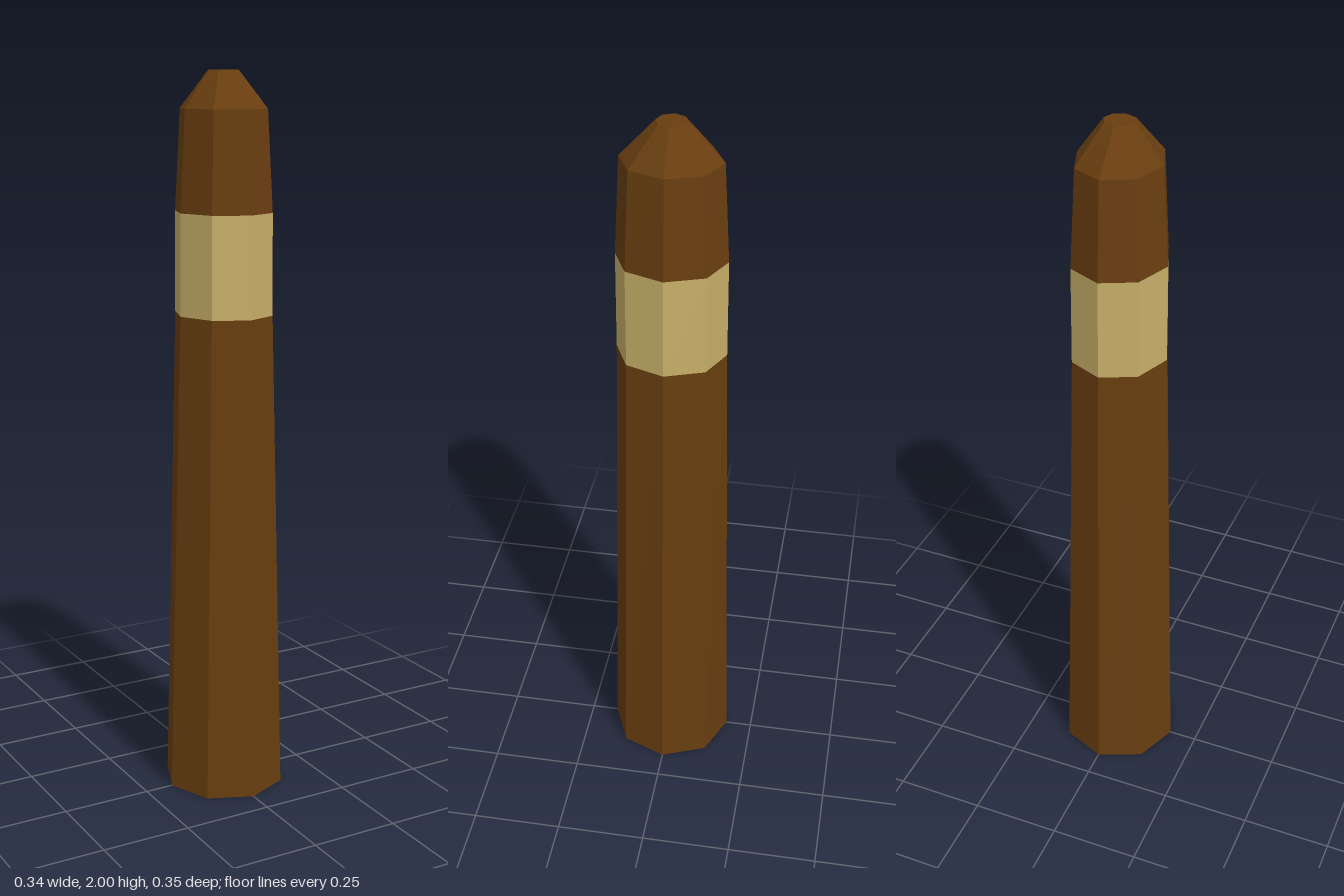
import * as THREE from 'three';

const SIDES = 8;
const paint = (color) => new THREE.MeshStandardMaterial({ color, flatShading: true });

// Octagonal ring corners (on the axes), wider in z than in x
const corner = ([y, rx, rz], i) => {
  const a = (i / SIDES) * Math.PI * 2;
  return [Math.sin(a) * rx, y, Math.cos(a) * rz];
};

// Faceted section running up through the given [y, rx, rz] rings
function section(name, rings, material) {
  const points = [];
  for (let r = 0; r < rings.length - 1; r++) {
    for (let i = 0; i < SIDES; i++) {
      const a = corner(rings[r], i), b = corner(rings[r], i + 1);
      const c = corner(rings[r + 1], i + 1), d = corner(rings[r + 1], i);
      points.push(...a, ...b, ...c, ...a, ...c, ...d);
    }
  }
  return mesh(name, points, material);
}

// Flat octagonal end closing a ring, facing up or down
function endCap(name, ring, up, material) {
  const points = [];
  for (let i = 0; i < SIDES; i++) {
    const a = corner(ring, i), b = corner(ring, i + 1);
    points.push(0, ring[0], 0, ...(up ? a : b), ...(up ? b : a));
  }
  return mesh(name, points, material);
}

function mesh(name, points, material) {
  const geometry = new THREE.BufferGeometry();
  geometry.setAttribute('position', new THREE.Float32BufferAttribute(points, 3));
  geometry.computeVertexNormals();
  const part = new THREE.Mesh(geometry, material);
  part.name = name;
  return part;
}

export function createModel() {
  const brown = paint(0x693e10), gold = paint(0xc8b068), darkEnd = paint(0x240606);

  const base = [0, 0.17, 0.174];
  const bandBottom = [1.355, 0.132, 0.148];
  const bandTop = [1.63, 0.13, 0.147];
  const shoulder = [1.9, 0.115, 0.133];
  const tip = [2, 0.043, 0.04];

  const model = new THREE.Group();
  model.name = 'bandedTaperedRod';
  model.add(
    section('body', [base, bandBottom], brown),
    section('band', [bandBottom, bandTop], gold),
    section('head', [bandTop, shoulder, tip], brown),
    endCap('tipFace', tip, true, brown),
    endCap('baseFace', base, false, darkEnd),
  );
  return model;
}
